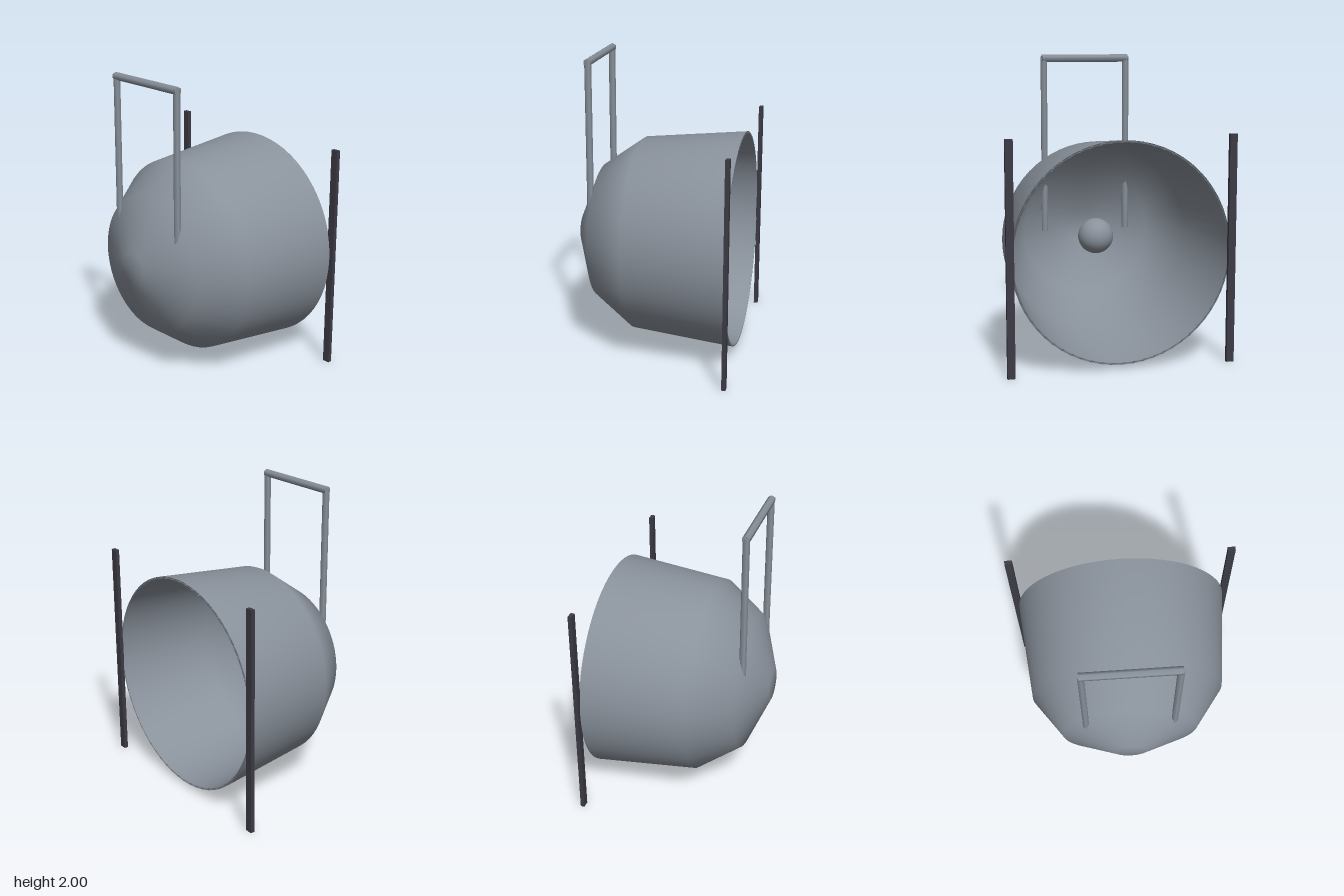
import * as THREE from 'three';

export function createModel() {
  const model = new THREE.Group();
  const steel = new THREE.MeshStandardMaterial({ color: 0x89919b });
  steel.name = 'steelGrey';
  const iron = new THREE.MeshStandardMaterial({ color: 0x3c3b45 });
  iron.name = 'darkIron';

  const add = (name, geometry, material, x, y, z) => {
    const mesh = new THREE.Mesh(geometry, material);
    mesh.name = name;
    mesh.position.set(x, y, z);
    model.add(mesh);
    return mesh;
  };

  const axisY = 0.757;

  // Hollow bowl opening to the back: inner wall, thin rim, outer wall, closed nose
  const outer = [[0.727, -0.54], [0.657, 0.145], [0.46, 0.42], [0.11, 0.565], [0, 0.565]];
  const inner = [[0, 0.55], [0.105, 0.55], [0.45, 0.408], [0.642, 0.14], [0.712, -0.54]];
  const profile = [...inner, ...outer].map(([r, z]) => new THREE.Vector2(r, z));
  const bowl = new THREE.LatheGeometry(profile, 64);
  bowl.rotateX(Math.PI / 2);
  add('bowl', bowl, steel, 0, axisY, 0);

  // Ball hanging inside the bowl
  add('innerBall', new THREE.SphereGeometry(0.122, 32, 20), steel, 0, axisY, 0.14);

  // Handle: two six-sided legs running into the bowl and a bar across the top
  const handleZ = 0.432;
  const legBottom = 0.755;
  const legTop = 1.985;
  const bar = new THREE.CylinderGeometry(0.0265, 0.0265, 0.62, 6, 1, false, Math.PI / 2);
  bar.rotateZ(Math.PI / 2);
  add('handleBar', bar, steel, 0, 1.9735, handleZ);

  for (const side of [1, -1]) {
    const label = side > 0 ? 'left' : 'right';
    const leg = new THREE.CylinderGeometry(0.0235, 0.0235, legTop - legBottom, 6);
    add(label + 'HandleLeg', leg, steel, side * 0.296, (legTop + legBottom) / 2, handleZ);

    // Upright post beside the rim
    const post = new THREE.BoxGeometry(0.05, 1.51, 0.027);
    add(label + 'Post', post, iron, side * 0.732, 0.755, -0.551);
  }

  return model;
}
